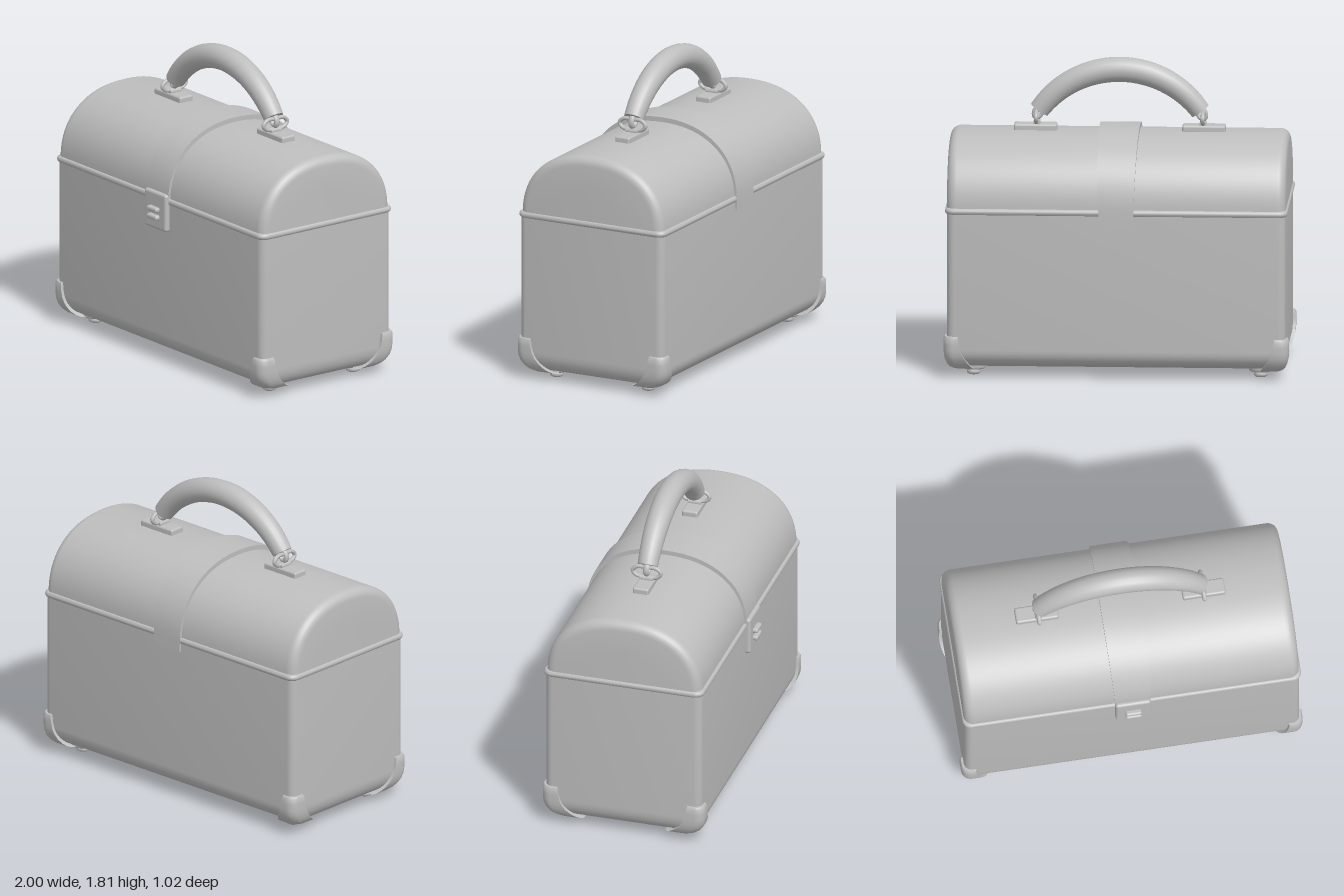
import * as THREE from 'three';
import { toCreasedNormals } from 'three/addons/utils/BufferGeometryUtils.js';
import { RoundedBoxGeometry } from 'three/addons/geometries/RoundedBoxGeometry.js';

const CZ = -0.022;   // centre of the case in z
const SEAM = 0.985;  // height where lid meets body

// Skin a list of cross-sections, each an array of [x, y, z]
function loft(rows, { loop = true, caps = true } = {}) {
  if (caps) {
    const middle = (row) => {
      const c = [0, 1, 2].map((k) => row.reduce((s, p) => s + p[k], 0) / row.length);
      return row.map(() => c);
    };
    rows = [middle(rows[0]), ...rows, middle(rows[rows.length - 1])];
  }
  const n = rows[0].length, index = [];
  for (let i = 0; i < rows.length - 1; i++) {
    for (let j = 0; j < (loop ? n : n - 1); j++) {
      const a = i * n + j, b = i * n + (j + 1) % n;
      index.push(a, b, a + n, b, b + n, a + n);
    }
  }
  const geo = new THREE.BufferGeometry();
  geo.setAttribute('position', new THREE.Float32BufferAttribute(rows.flat(2), 3));
  geo.setIndex(index);
  return toCreasedNormals(geo, 0.7);
}

// Rounded rectangle in plan
function outline(hx, hz, r, y) {
  const pts = [];
  const signs = [[1, 1], [-1, 1], [-1, -1], [1, -1]];
  signs.forEach(([sx, sz], q) => {
    for (let i = 0; i <= 6; i++) {
      const t = (q + i / 6) * Math.PI / 2;
      pts.push([sx * (hx - r) + r * Math.cos(t), y, CZ + sz * (hz - r) + r * Math.sin(t)]);
    }
  });
  return pts;
}

// Point on the domed lid profile, returned as [y, z]
function dome(t, a, b) {
  const c = Math.cos(t), s = Math.max(0, Math.sin(t)), e = 2 / 2.25;
  return [SEAM + b * s ** e, CZ + a * Math.sign(c) * Math.abs(c) ** e];
}

// How far the rounded bottom edge is drawn in at angle t
const bottomInset = (t) => ({ dx: 0.06 * (1 - Math.sin(t)), dz: 0.11 * (1 - Math.sin(t)), y: 0.11 * (1 - Math.cos(t)) });

export function createModel() {
  const group = new THREE.Group();
  const grey = new THREE.MeshStandardMaterial({ color: 0xbebebe, side: THREE.DoubleSide });
  grey.name = 'plain grey';

  const add = (name, geo, x = 0, y = 0, z = 0) => {
    const mesh = new THREE.Mesh(geo, grey);
    mesh.name = name;
    mesh.position.set(x, y, z);
    group.add(mesh);
    return mesh;
  };

  // Body with a rounded bottom edge
  const bodyRows = [];
  for (let i = 0; i <= 8; i++) {
    const { dx, dz, y } = bottomInset(i / 8 * Math.PI / 2);
    bodyRows.push(outline(0.98 - dx, 0.472 - dz, 0.045, 0.06 + y));
  }
  bodyRows.push(outline(0.98, 0.472, 0.045, SEAM));
  add('body', loft(bodyRows));

  // Domed lid with softened ends
  const lidRows = [];
  for (const side of [-1, 1]) {
    for (let i = 0; i <= 6; i++) {
      const t = (side < 0 ? i : 6 - i) / 6 * Math.PI / 2;
      const d = 0.055 * (1 - Math.sin(t));
      const x = side * (0.98 - 0.055 * (1 - Math.cos(t)));
      const row = [];
      for (let j = 0; j <= 40; j++) row.push([x, ...dome(j / 40 * Math.PI, 0.468 - d, 0.402 - d)]);
      lidRows.push(row);
    }
  }
  add('lid', loft(lidRows));

  // Bead around the seam
  const beadRows = [];
  for (let i = 0; i <= 8; i++) {
    const t = (i / 8 - 0.5) * Math.PI;
    const out = 0.012 * Math.cos(t) - 0.002;
    beadRows.push(outline(0.98 + out, 0.473 + out, 0.05, SEAM + 0.018 * Math.sin(t)));
  }
  add('seamBead', loft(beadRows));

  // Strap over the lid, with a short tail down the back
  const strapRow = (w, [y0, z0], [y1, z1]) => [[-w, y0, z0], [w, y0, z0], [w, y1, z1], [-w, y1, z1]];
  const strapRows = [];
  for (let i = 0; i <= 40; i++) {
    const t = i / 40 * Math.PI;
    strapRows.push(strapRow(0.101 + 0.016 * Math.sin(t), dome(t, 0.483, 0.43), dome(t, 0.455, 0.39)));
  }
  strapRows.push(strapRow(0.1, [0.915, CZ - 0.483], [0.915, CZ - 0.455]));
  add('strap', loft(strapRows));

  // Clasp plate and its two prongs
  add('clasp', new RoundedBoxGeometry(0.205, 0.225, 0.045, 4, 0.016), 0, 0.917, 0.459);
  for (const y of [0.927, 0.88]) {
    add('claspProng', new RoundedBoxGeometry(0.095, 0.03, 0.06, 3, 0.013), 0, y, 0.479);
  }

  // Corner guards wrapping the bottom corners and reaching under to the feet
  const footX = 0.83, footZ = 0.302;
  const guardRow = (off, dx, dz, y, lx, lz) => {
    const hx = 0.98 + off - dx, hz = 0.472 + off - dz, r = 0.055;
    const row = [[hx - lx, y, hz - 0.03], [hx - lx, y, hz]];
    for (let i = 0; i <= 8; i++) {
      const t = (1 - i / 8) * Math.PI / 2;
      row.push([hx - r + r * Math.cos(t), y, hz - r + r * Math.sin(t)]);
    }
    row.push([hx, y, hz - lz], [hx - 0.03, y, hz - lz]);
    return row;
  };
  const spread = (y) => 0.085 + 0.09 * (1 - Math.min(1, (y - 0.045) / 0.2)) ** 2;
  const guardRows = [];
  const under = guardRow(0.014, 0.06, 0.11, 0.045, 0.12, 0.13);
  for (const k of [0.9, 0.45]) {
    guardRows.push(under.map(([x, y, z]) => [x + (footX - x) * k, y, z + (footZ - z) * k]));
  }
  for (let i = 0; i <= 6; i++) {
    const { dx, dz, y } = bottomInset(i / 6 * Math.PI / 2);
    const h = 0.045 + y * 1.1, l = spread(h);
    guardRows.push(guardRow(0.018, dx, dz, h, l - dx, l + 0.015 - dz * 0.5));
  }
  for (const y of [0.2, 0.235]) guardRows.push(guardRow(0.018, 0, 0, y, spread(y), spread(y) + 0.015));
  guardRows.push(guardRow(0.012, 0, 0, 0.248, 0.075, 0.09), guardRow(-0.02, 0, 0, 0.25, 0.06, 0.08));
  const guardGeo = loft(guardRows, { loop: false, caps: false });

  // Flanged round feet
  const footProfile = [[0, 0], [0.028, 0], [0.038, 0.006], [0.041, 0.016], [0.038, 0.026], [0.03, 0.03],
    [0.062, 0.034], [0.07, 0.042], [0.07, 0.065]].map(([x, y]) => new THREE.Vector2(x, y));
  const footGeo = toCreasedNormals(new THREE.LatheGeometry(footProfile, 24), 0.8);
  for (const sx of [-1, 1]) {
    for (const sz of [-1, 1]) {
      add('cornerGuard', guardGeo, 0, 0, CZ).scale.set(sx, 1, sz);
      add('foot', footGeo, sx * footX, 0, CZ + sz * footZ);
    }
  }

  // Arched padded handle, thinner towards flat-cut ends
  const HZ = -0.027, R = 0.57, sweep = 0.955, arc = [];
  for (let i = 0; i <= 12; i++) {
    const t = (i / 6 - 1) * sweep;
    arc.push([R * Math.sin(t), 1.74 - R + R * Math.cos(t)]);
  }
  const handleRows = [];
  for (let i = 0; i <= 40; i++) {
    const u = i / 20 - 1, t = u * sweep, r = 0.073 - 0.014 * u * u;
    const row = [];
    for (let j = 0; j < 20; j++) {
      const p = j / 20 * Math.PI * 2, rad = R + r * Math.cos(p);
      row.push([rad * Math.sin(t), 1.74 - R + rad * Math.cos(t), HZ + r * Math.sin(p)]);
    }
    handleRows.push(row);
  }
  add('handle', loft(handleRows));

  // Handle mounts: plate, hinge bar, oval ring and link
  for (const s of [-1, 1]) {
    add('mountPlate', new RoundedBoxGeometry(0.25, 0.045, 0.095, 3, 0.012), s * 0.487, 1.398, HZ);
    const bar = add('hingeBar', new THREE.CylinderGeometry(0.02, 0.02, 0.08, 16), s * 0.48, 1.425, HZ);
    bar.rotation.x = Math.PI / 2;
    const ringPath = new THREE.CatmullRomCurve3([[-0.06, -0.028], [0, -0.03], [0.06, -0.028], [0.086, 0],
      [0.06, 0.028], [0, 0.03], [-0.06, 0.028], [-0.086, 0]].map(([z, y]) => new THREE.Vector3(0, y, z)), true);
    add('mountRing', new THREE.TubeGeometry(ringPath, 48, 0.012, 10, true), s * 0.482, 1.465, HZ);
    const link = add('handleLink', new THREE.TorusGeometry(0.03, 0.014, 10, 24), s * 0.473, 1.485, HZ);
    link.rotation.z = s * 0.4;
    link.scale.set(0.8, 1.1, 1.3);
  }

  return group;
}
